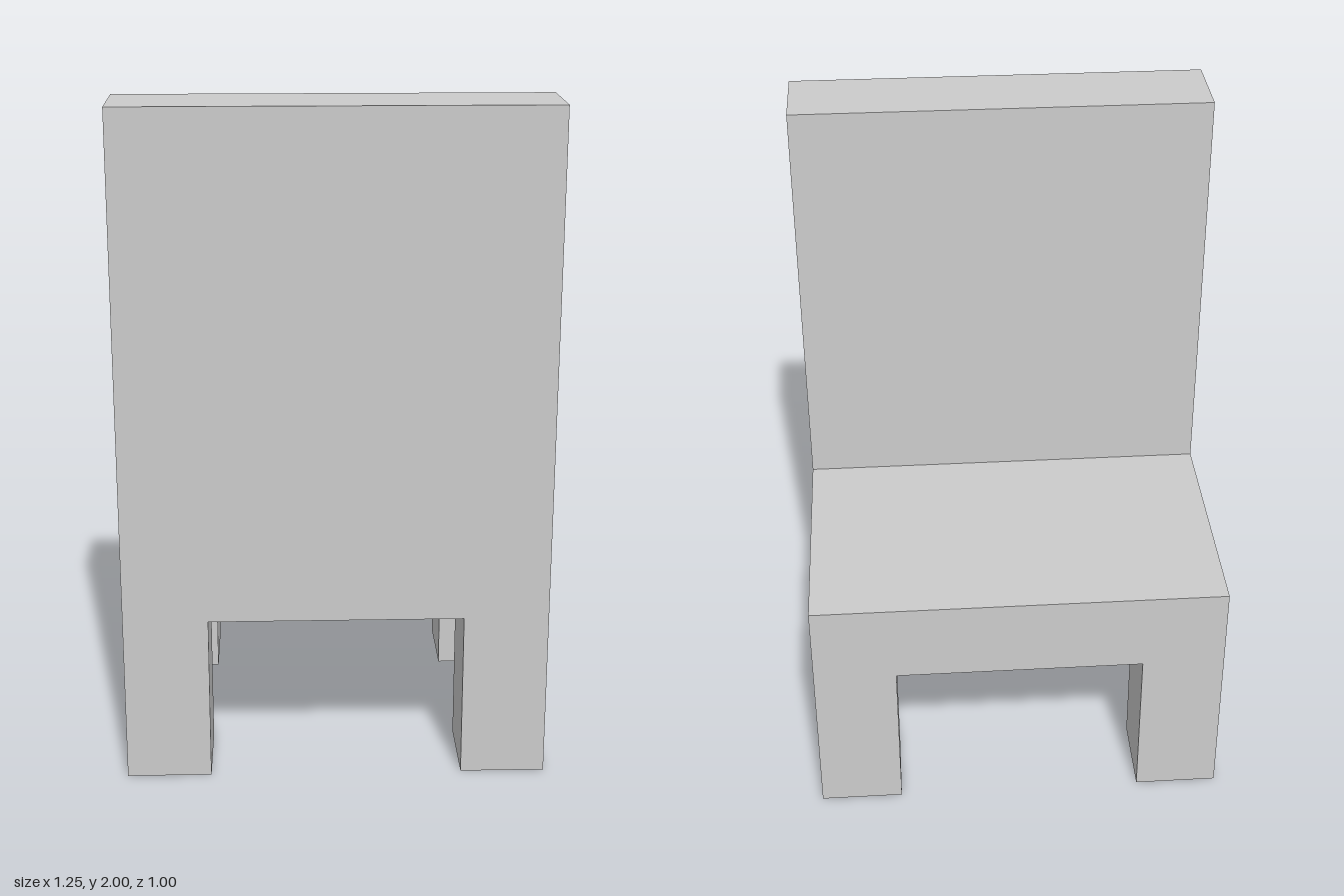
import * as THREE from 'three';

export function createModel() {
  const model = new THREE.Group();
  model.name = 'chair';
  const material = new THREE.MeshStandardMaterial({ color: 0xcccccc, flatShading: true });

  const width = 1.25, depth = 1, thick = 0.25;
  const legHeight = 0.5, seatTop = legHeight + thick, height = 2;

  // Box standing on the given base height
  function addBox(name, w, h, d, x, base, z) {
    const mesh = new THREE.Mesh(new THREE.BoxGeometry(w, h, d), material);
    mesh.name = name;
    mesh.position.set(x, base + h / 2, z);
    model.add(mesh);
  }

  // Seat slab, and the backrest rising from its +z edge
  addBox('seat', width, thick, depth, 0, legHeight, 0);
  addBox('backrest', width, height - seatTop, thick, 0, seatTop, (depth - thick) / 2);

  // Four square legs flush with the seat corners
  for (const [side, sx] of [['Left', 1], ['Right', -1]]) {
    for (const [end, sz] of [['backrest', 1], ['seatEdge', -1]]) {
      addBox(`${end}${side}Leg`, thick, legHeight, thick,
        sx * (width - thick) / 2, 0, sz * (depth - thick) / 2);
    }
  }

  return model;
}
